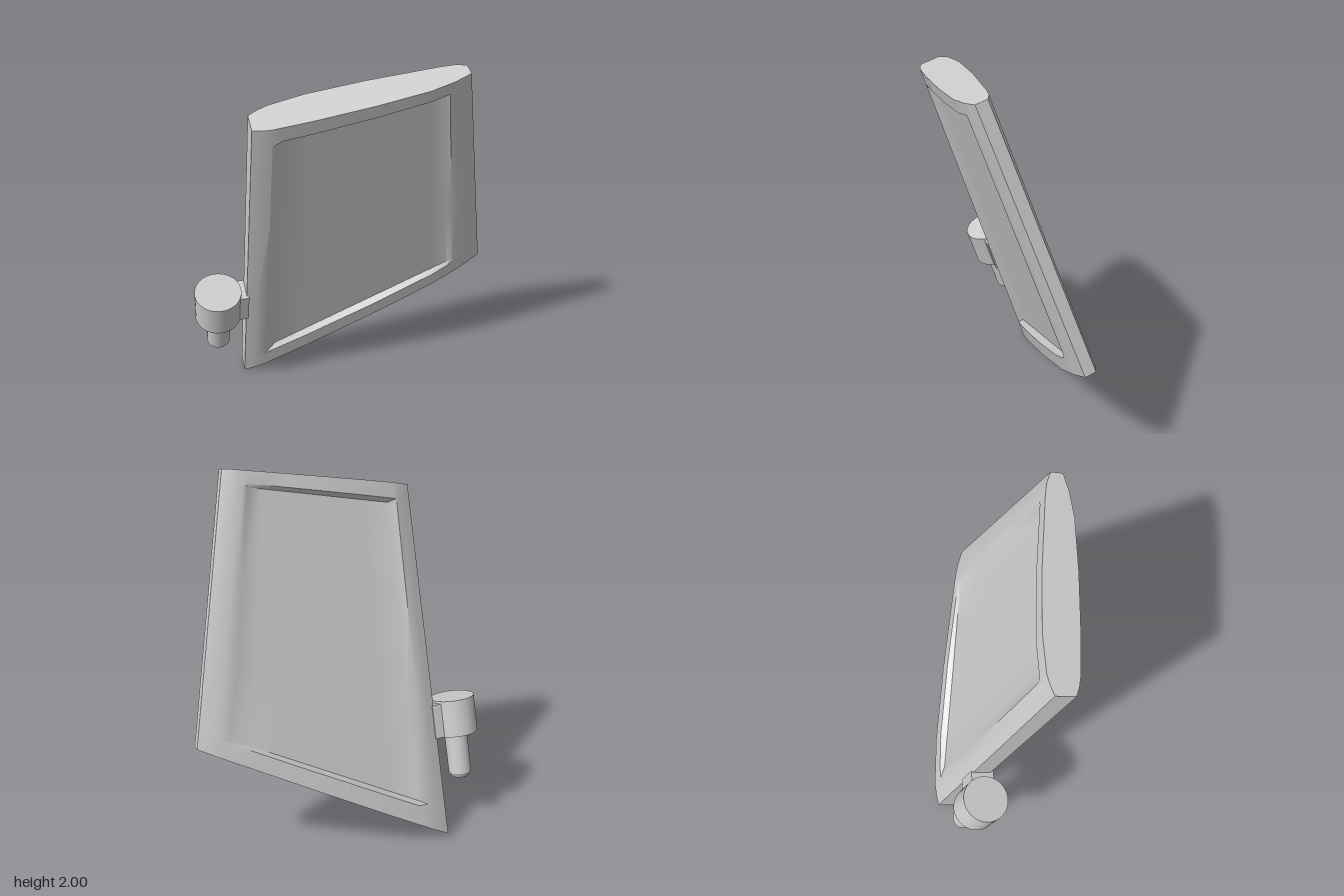
import * as THREE from 'three';
import { toCreasedNormals } from 'three/addons/utils/BufferGeometryUtils.js';

// Panel corners in its own plane (x along the chord, y along the hinge edge)
const HINGE_LOW = [0, 0], HINGE_TOP = [0, 1.9], TRAIL_TOP = [0.936, 2.086], TRAIL_LOW = [1.276, 0.787];

// Skin height above the mid plane along the chord, and recess floor height at its two ends
const FRONT = {
  side: 1, floor: [0.048, 0.046],
  profile: [[0, 0.047], [0.04, 0.061], [0.09, 0.07], [0.27, 0.078], [0.55, 0.081], [0.8, 0.073], [0.92, 0.053], [1, 0.028]],
};
const BACK = {
  side: -1, floor: [0.064, 0.046],
  profile: [[0, 0.047], [0.04, 0.064], [0.09, 0.079], [0.27, 0.092], [0.55, 0.083], [0.89, 0.056], [0.95, 0.047], [1, 0.028]],
};

function skinHeight(profile, t) {
  const i = Math.max(1, profile.findIndex(p => p[0] >= t));
  const [t0, a] = profile[i - 1], [t1, b] = profile[i];
  return THREE.MathUtils.mapLinear(t, t0, t1, a, b);
}

// Grid lines; the recess floor lies between the inner pair of each direction
const TS = [0, 0.04, 0.09, 0.135, 0.27, 0.4, 0.55, 0.7, 0.8, 0.87, 0.89, 0.92, 0.95, 1];
const SS = [0, 0.062, 0.076, 0.35, 0.65, 0.945, 0.957, 1];
const FLOOR_T = [0.135, 0.87], FLOOR_S = [0.076, 0.945];

function panelGeometry() {
  const positions = [];
  const point = (t, s, skin) => {
    const mix = k => THREE.MathUtils.lerp(
      THREE.MathUtils.lerp(HINGE_LOW[k], TRAIL_LOW[k], t),
      THREE.MathUtils.lerp(HINGE_TOP[k], TRAIL_TOP[k], t), s);
    const sunk = t >= FLOOR_T[0] && t <= FLOOR_T[1] && s >= FLOOR_S[0] && s <= FLOOR_S[1];
    const height = sunk ? THREE.MathUtils.lerp(...skin.floor, t) : skinHeight(skin.profile, t);
    return [mix(0), mix(1), skin.side * height];
  };
  const quad = (a, b, c, d) => positions.push(...a, ...b, ...c, ...a, ...c, ...d);

  // Front and back skins
  for (let i = 0; i < TS.length - 1; i++) {
    for (let j = 0; j < SS.length - 1; j++) {
      const [t0, t1, s0, s1] = [TS[i], TS[i + 1], SS[j], SS[j + 1]];
      quad(point(t0, s0, FRONT), point(t1, s0, FRONT), point(t1, s1, FRONT), point(t0, s1, FRONT));
      quad(point(t1, s0, BACK), point(t0, s0, BACK), point(t0, s1, BACK), point(t1, s1, BACK));
    }
  }
  // Lower and upper end caps
  for (let i = 0; i < TS.length - 1; i++) {
    const [t0, t1] = [TS[i], TS[i + 1]];
    quad(point(t0, 0, BACK), point(t1, 0, BACK), point(t1, 0, FRONT), point(t0, 0, FRONT));
    quad(point(t0, 1, FRONT), point(t1, 1, FRONT), point(t1, 1, BACK), point(t0, 1, BACK));
  }
  // Hinge and trailing edges
  for (let j = 0; j < SS.length - 1; j++) {
    const [s0, s1] = [SS[j], SS[j + 1]];
    quad(point(0, s0, BACK), point(0, s0, FRONT), point(0, s1, FRONT), point(0, s1, BACK));
    quad(point(1, s0, FRONT), point(1, s0, BACK), point(1, s1, BACK), point(1, s1, FRONT));
  }
  const geometry = new THREE.BufferGeometry();
  geometry.setAttribute('position', new THREE.Float32BufferAttribute(positions, 3));
  return toCreasedNormals(geometry, 0.6);
}

export function createModel() {
  const model = new THREE.Group();
  model.name = 'controlPanel';
  const grey = new THREE.MeshStandardMaterial({ color: 0xcccccc });
  grey.name = 'plainGrey';

  // Tilted frame that carries every part
  const frame = new THREE.Group();
  frame.name = 'tiltedPanel';
  const up = new THREE.Vector3(0.201, 0.958, 0.212).normalize();
  const normal = new THREE.Vector3(0.606, -0.292, 0.742).normalize();
  const chord = new THREE.Vector3().crossVectors(up, normal).normalize();
  normal.crossVectors(chord, up);
  frame.quaternion.setFromRotationMatrix(new THREE.Matrix4().makeBasis(chord, up, normal));
  frame.position.set(-0.525, 0.015, 0.115);
  model.add(frame);

  const add = (name, geometry, x = 0, y = 0, z = 0) => {
    const mesh = new THREE.Mesh(geometry, grey);
    mesh.name = name;
    mesh.position.set(x, y, z);
    frame.add(mesh);
  };

  add('panel', panelGeometry());

  // Hinge: round head, lug to the panel edge, and chamfered pin below
  const hingeX = -0.143, hingeZ = 0.008;
  add('hingeHead', new THREE.CylinderGeometry(0.12, 0.12, 0.2, 40), hingeX, 0.647, hingeZ);
  add('hingeLug', new THREE.BoxGeometry(0.12, 0.185, 0.12), -0.05, 0.642, 0.004);
  add('hingePin', new THREE.CylinderGeometry(0.062, 0.062, 0.24, 32), hingeX, 0.437, hingeZ);
  add('pinTip', new THREE.CylinderGeometry(0.062, 0.046, 0.025, 32), hingeX, 0.3045, hingeZ);
  return model;
}
